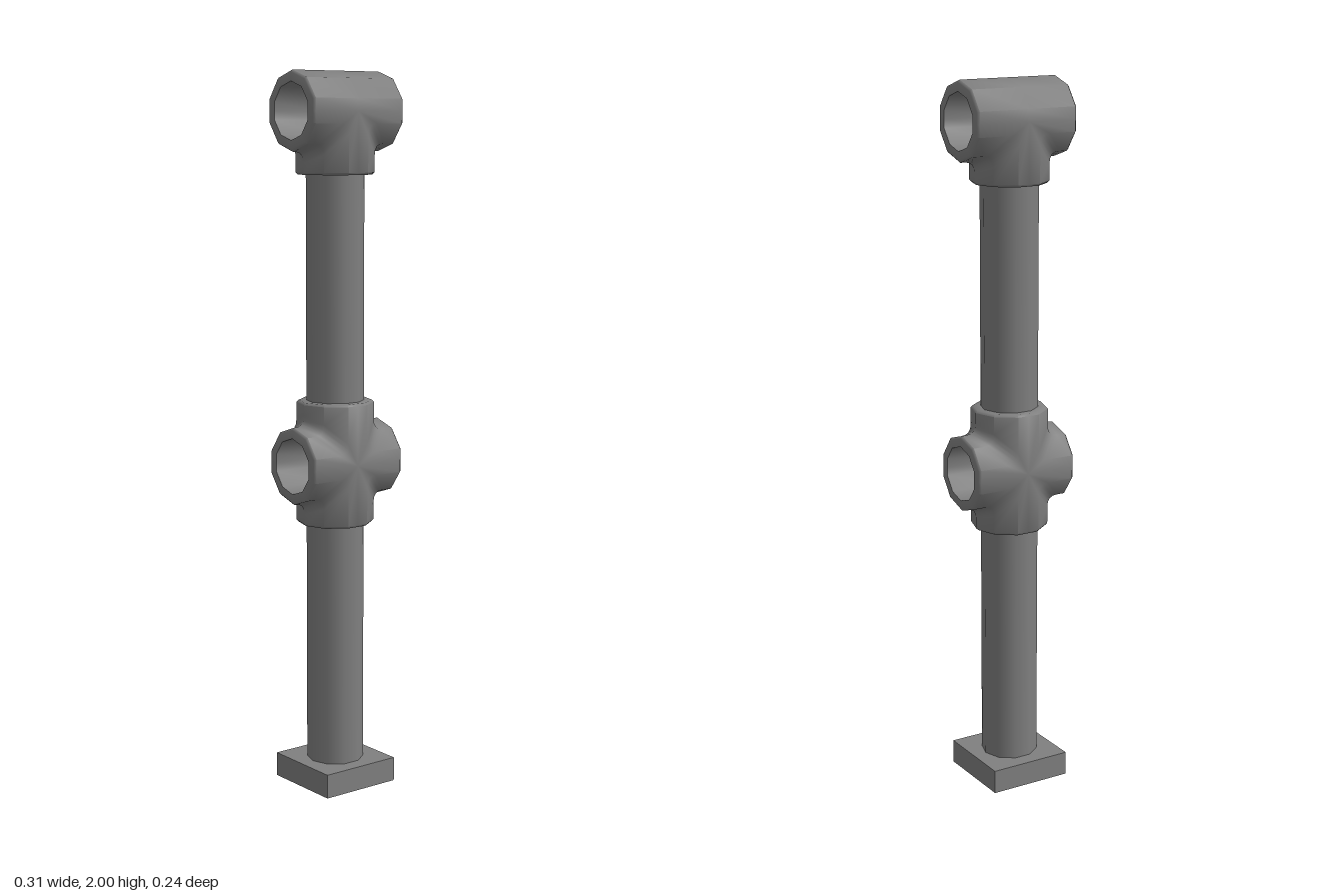
import * as THREE from 'three';
import { mergeGeometries, toCreasedNormals } from 'three/addons/utils/BufferGeometryUtils.js';

const R = 0.108;      // fitting radius
const PIPE = 0.08;    // pipe radius
const BORE = 0.078;   // fitting bore radius
const FILLET = 0.03;
const CHAMFER = 0.006;
const X0 = -0.004;    // the post's axis

const material = new THREE.MeshStandardMaterial({ color: 0x808080, side: THREE.DoubleSide });

// Ten-sided section, with an extra point in the middle of the front and back flats
const section = [];
for (let k = 0; k < 10; k++) {
  const t = (k * Math.PI) / 5;
  section.push([Math.cos(t), Math.sin(t)]);
  if (k === 2 || k === 7) section.push([0, Math.sin(t)]);
}

// One arm of a fitting along +y, mitred and filleted against arms on its -x / +x sides
function armGeometry(length, joinNeg, joinPos, open) {
  const columns = section.map(([c, s]) => {
    const joined = (c > 1e-6 && joinPos) || (c < -1e-6 && joinNeg);
    const start = joined ? Math.abs(c) * R : 0;
    const g = joined ? FILLET : 0;
    const point = (radius, h, out = 0) => [c * radius + Math.sign(c) * out, h, s * radius];
    const rings = [];
    for (const q of [0.5, 0.25, 0]) {
      rings.push(point(R, start + (1 - q) ** 2 * g, q * q * g));
    }
    rings.push(
      point(R, length - CHAMFER),
      point(R - CHAMFER, length),
      point(BORE, length),
    );
    if (open) rings.push(point(BORE, 0)); // bore wall
    return rings;
  });
  const positions = [];
  const n = columns.length;
  for (let j = 0; j < n; j++) {
    const p = columns[j], q = columns[(j + 1) % n];
    for (let i = 0; i < p.length - 1; i++) {
      positions.push(...q[i], ...p[i], ...p[i + 1], ...q[i], ...p[i + 1], ...q[i + 1]);
    }
  }
  const geometry = new THREE.BufferGeometry();
  geometry.setAttribute('position', new THREE.Float32BufferAttribute(positions, 3));
  return geometry;
}

// Joins arms into one fitting; normals are worked out at a larger scale for precision
function fitting(name, y, arms) {
  const parts = arms.map(({ angle, length, neg, pos, open }) =>
    armGeometry(length, neg, pos, open).rotateZ(angle));
  const geometry = toCreasedNormals(mergeGeometries(parts).scale(100, 100, 100), 0.9);
  geometry.scale(0.01, 0.01, 0.01);
  const mesh = new THREE.Mesh(geometry, material);
  mesh.name = name;
  mesh.position.set(X0, y, 0);
  return mesh;
}

function pipe(name, y0, y1) {
  const geometry = new THREE.CylinderGeometry(PIPE, PIPE, y1 - y0, 10, 1, false, Math.PI / 2);
  const mesh = new THREE.Mesh(geometry, material);
  mesh.name = name;
  mesh.position.set(X0, (y0 + y1) / 2, 0);
  return mesh;
}

export function createModel() {
  const group = new THREE.Group();
  group.name = 'railingPost';
  const H = Math.PI / 2;
  const right = 0.153 - X0, left = 0.153 + X0;

  // Square foot, hollow underneath (bottom face left out)
  const footGeometry = new THREE.BoxGeometry(0.24, 0.068, 0.24);
  const index = Array.from(footGeometry.index.array);
  index.splice(18, 6);
  footGeometry.setIndex(index);
  footGeometry.clearGroups();
  const foot = new THREE.Mesh(footGeometry, material);
  foot.name = 'foot';
  foot.position.set(X0, 0.034, 0);
  group.add(foot);

  group.add(pipe('lowerPipe', 0.055, 0.8), pipe('upperPipe', 1.06, 1.77));

  // Four-way fitting halfway up, with an open cross bore
  group.add(fitting('crossFitting', 0.928, [
    { angle: 0, length: 0.173, neg: true, pos: true, open: false },
    { angle: Math.PI, length: 0.173, neg: true, pos: true, open: false },
    { angle: -H, length: right, neg: true, pos: true, open: true },
    { angle: H, length: left, neg: true, pos: true, open: true },
  ]));

  // Tee at the top
  group.add(fitting('teeFitting', 2 - R, [
    { angle: Math.PI, length: 0.17, neg: true, pos: true, open: false },
    { angle: -H, length: right, neg: false, pos: true, open: true },
    { angle: H, length: left, neg: true, pos: false, open: true },
  ]));

  return group;
}
